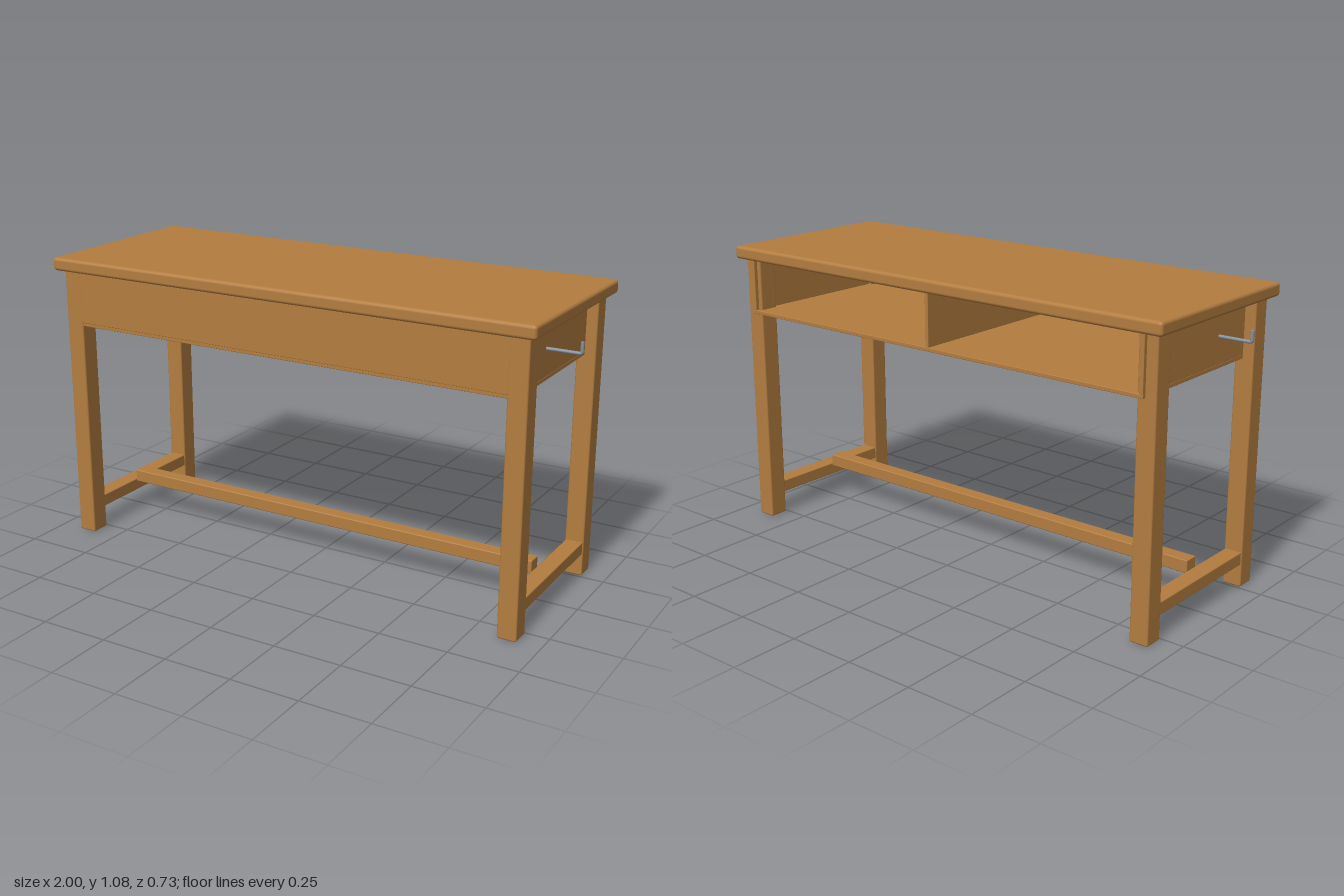
import * as THREE from 'three';
import { RoundedBoxGeometry } from 'three/addons/geometries/RoundedBoxGeometry.js';

export function createModel() {
  const desk = new THREE.Group();
  desk.name = 'schoolDesk';
  const wood = new THREE.MeshStandardMaterial({ color: 0xb37d40 });
  wood.name = 'wood';
  const steel = new THREE.MeshStandardMaterial({ color: 0x8591a0 });
  steel.name = 'steel';

  // Board between two corners, with softly rounded edges
  function board(name, [x0, x1], [y0, y1], [z0, z1], radius = 0.002) {
    const geometry = new RoundedBoxGeometry(x1 - x0, y1 - y0, z1 - z0, 3, radius);
    const mesh = new THREE.Mesh(geometry, wood);
    mesh.name = name;
    mesh.position.set((x0 + x1) / 2, (y0 + y1) / 2, (z0 + z1) / 2);
    desk.add(mesh);
  }
  // The same span on the left (+1) or right (-1) side
  const span = (side, a, b) => (side > 0 ? [a, b] : [-b, -a]);

  board('tableTop', [-0.945, 0.945], [1.027, 1.075], [-0.3625, 0.3625], 0.012);

  // Book compartment, open at the back
  board('frontApron', [-0.85, 0.85], [0.835, 1.025], [0.315, 0.33]);
  board('compartmentFloor', [-0.875, 0.875], [0.822, 0.836], [-0.345, 0.327]);
  board('divider', [-0.007, 0.007], [0.835, 1.027], [-0.343, 0.317]);

  // Stretcher joining the two foot rails
  board('stretcher', [-0.848, 0.848], [0.12, 0.168], [0.005, 0.06], 0.004);

  for (const side of [1, -1]) {
    for (const end of [1, -1]) {
      board(end > 0 ? 'frontLeg' : 'backLeg', span(side, 0.845, 0.915),
        [0, 1.027], span(end, 0.258, 0.331), 0.006);
    }
    board('sidePanel', span(side, 0.861, 0.875), [0.835, 1.027], [-0.345, 0.32]);
    board('footRail', span(side, 0.848, 0.911), [0.083, 0.13], [-0.262, 0.262], 0.004);

    // Bag hook: a rod bent upward at its outer end
    const path = new THREE.CurvePath();
    const point = (x, y) => new THREE.Vector3(side * x, y, 0.095);
    path.add(new THREE.LineCurve3(point(0.865, 0.931), point(0.987, 0.931)));
    path.add(new THREE.QuadraticBezierCurve3(point(0.987, 0.931), point(0.994, 0.931), point(0.994, 0.938)));
    path.add(new THREE.LineCurve3(point(0.994, 0.938), point(0.994, 0.969)));
    const hook = new THREE.Group();
    hook.name = 'bagHook';
    const rod = new THREE.Mesh(new THREE.TubeGeometry(path, 60, 0.006, 12), steel);
    rod.name = 'hookRod';
    const tip = new THREE.Mesh(new THREE.SphereGeometry(0.006, 12, 8), steel);
    tip.name = 'hookTip';
    tip.scale.y = 0.3;
    tip.position.copy(point(0.994, 0.969));
    hook.add(rod, tip);
    desk.add(hook);
  }
  return desk;
}
